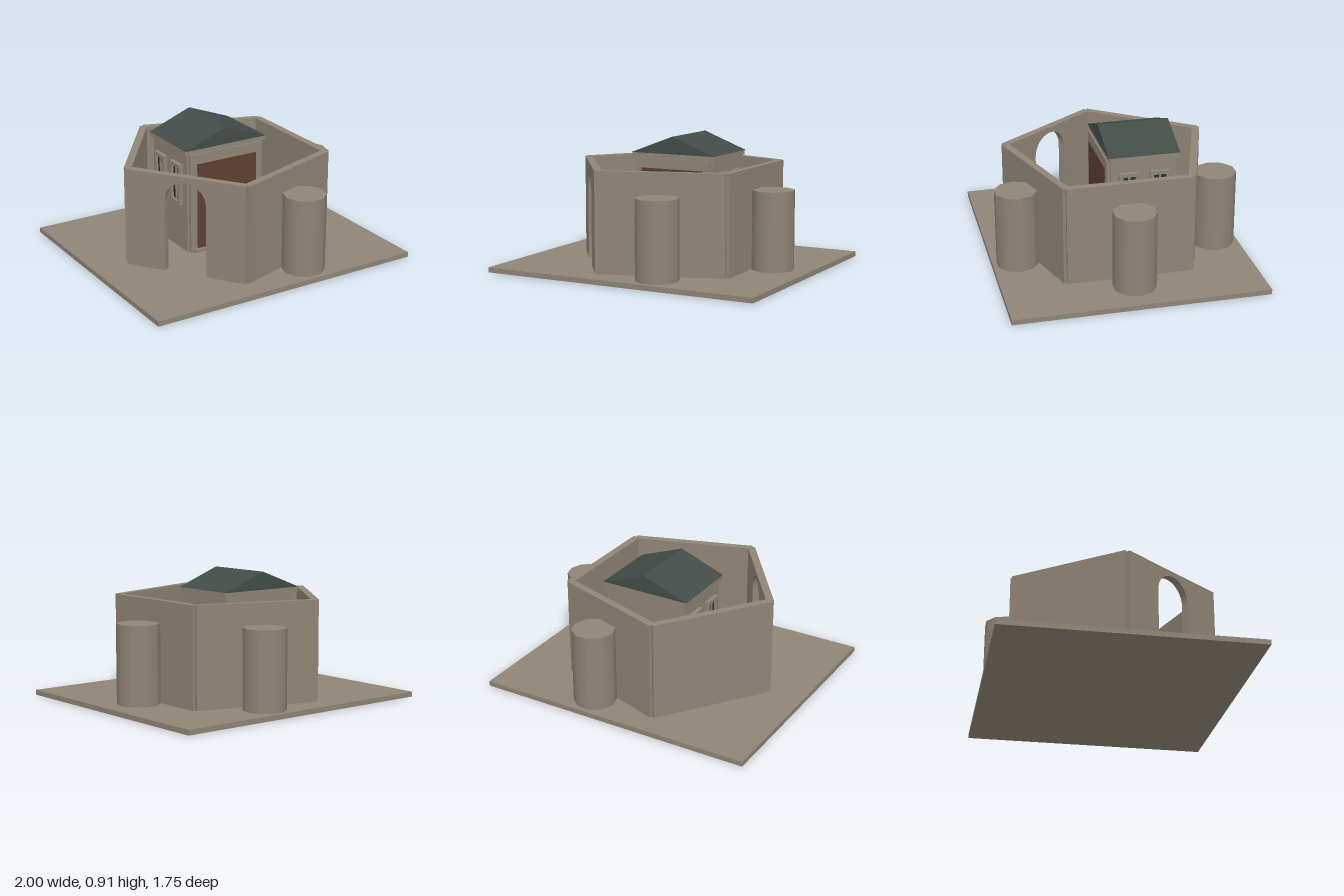
import * as THREE from 'three';

const material = (name, color) => {
  const m = new THREE.MeshStandardMaterial({ color });
  m.name = name;
  return m;
};

export function createModel() {
  const stone = material('stone', 0x8f8575);
  const slate = material('slate', 0x434c48);
  const wood = material('wood', 0x5d4030);
  const glass = material('dark glass', 0x2c3030);

  const model = new THREE.Group();
  model.name = 'walledCourt';
  const FLOOR = 0.035;

  const add = (name, geometry, mat, parent = model) => {
    const mesh = new THREE.Mesh(geometry, mat);
    mesh.name = name;
    parent.add(mesh);
    return mesh;
  };
  // Box given by its lower and upper limits on each axis
  const block = (name, mat, [x0, x1], [y0, y1], [z0, z1], parent) => {
    const mesh = add(name, new THREE.BoxGeometry(x1 - x0, y1 - y0, z1 - z0), mat, parent);
    mesh.position.set((x0 + x1) / 2, (y0 + y1) / 2, (z0 + z1) / 2);
    return mesh;
  };

  // Ground slab
  block('groundSlab', stone, [-1, 1], [0, FLOOR], [-0.875, 0.875]);

  // Five curtain walls; the front left one has an arched gateway
  const HALF = 0.43, TOP = 0.73, GATE = 0.15, SPRING = 0.54;
  for (let i = 0; i < 5; i++) {
    const angle = i * Math.PI * 0.4;
    const shape = new THREE.Shape();
    shape.moveTo(-HALF, FLOOR);
    if (i === 2) {
      shape.lineTo(-GATE, FLOOR);
      shape.lineTo(-GATE, SPRING);
      shape.absarc(0, SPRING, GATE, Math.PI, 0, true);
      shape.lineTo(GATE, FLOOR);
    }
    shape.lineTo(HALF, FLOOR);
    shape.lineTo(HALF, TOP);
    shape.lineTo(-HALF, TOP);
    const geometry = new THREE.ExtrudeGeometry(shape, { depth: 0.052, bevelEnabled: false, curveSegments: 16 });
    const wall = add(i === 2 ? 'gateWall' : 'curtainWall', geometry, stone);
    wall.rotation.y = Math.PI / 2 - angle;
    wall.position.set(0.563 * Math.cos(angle), 0, 0.563 * Math.sin(angle));
  }

  // Ten-sided towers outside three of the walls
  for (const i of [-1, 0, 1]) {
    const angle = i * Math.PI * 0.4;
    const geometry = new THREE.CylinderGeometry(0.147, 0.147, 0.545, 10);
    geometry.rotateY(Math.PI / 2);
    const tower = add('tower', geometry, stone);
    tower.position.set(0.737 * Math.cos(angle), FLOOR + 0.2725, 0.737 * Math.sin(angle));
  }

  // House in the court
  const house = new THREE.Group();
  house.name = 'house';
  model.add(house);
  block('houseBody', stone, [-0.305, 0.305], [FLOOR, 0.755], [-0.4, 0.06], house);
  block('eavesBand', stone, [-0.322, 0.322], [0.755, 0.787], [-0.412, 0.075], house);
  block('doorSurround', stone, [-0.29, 0.29], [FLOOR, 0.755], [0.06, 0.086], house);
  block('door', wood, [-0.238, 0.238], [FLOOR, 0.683], [0.086, 0.092], house);
  block('doorStep', stone, [-0.27, 0.27], [FLOOR, 0.06], [0.086, 0.11], house);

  // Gabled roof
  const gable = new THREE.Shape();
  gable.moveTo(-0.325, 0.787);
  gable.lineTo(0.325, 0.787);
  gable.lineTo(0, 0.91);
  const roof = add('roof', new THREE.ExtrudeGeometry(gable, { depth: 0.5, bevelEnabled: false }), slate, house);
  roof.position.z = -0.42;

  // Two framed windows on each side wall
  const frameShape = new THREE.Shape();
  frameShape.moveTo(-0.07, 0.37);
  frameShape.lineTo(0.07, 0.37);
  frameShape.lineTo(0.07, 0.667);
  frameShape.lineTo(-0.07, 0.667);
  const opening = new THREE.Path();
  opening.moveTo(-0.045, 0.395);
  opening.lineTo(-0.045, 0.642);
  opening.lineTo(0.045, 0.642);
  opening.lineTo(0.045, 0.395);
  frameShape.holes.push(opening);
  for (const side of [-1, 1]) {
    for (const z of [-0.28, -0.065]) {
      const win = new THREE.Group();
      win.name = 'window';
      win.position.set(side * 0.305, 0, z);
      win.rotation.y = side * Math.PI / 2;
      house.add(win);
      add('windowFrame', new THREE.ExtrudeGeometry(frameShape, { depth: 0.028, bevelEnabled: false }), stone, win);
      block('windowPane', glass, [-0.045, 0.045], [0.395, 0.642], [0, 0.008], win);
      block('windowBar', stone, [-0.006, 0.006], [0.395, 0.642], [0.008, 0.018], win);
    }
  }

  return model;
}
